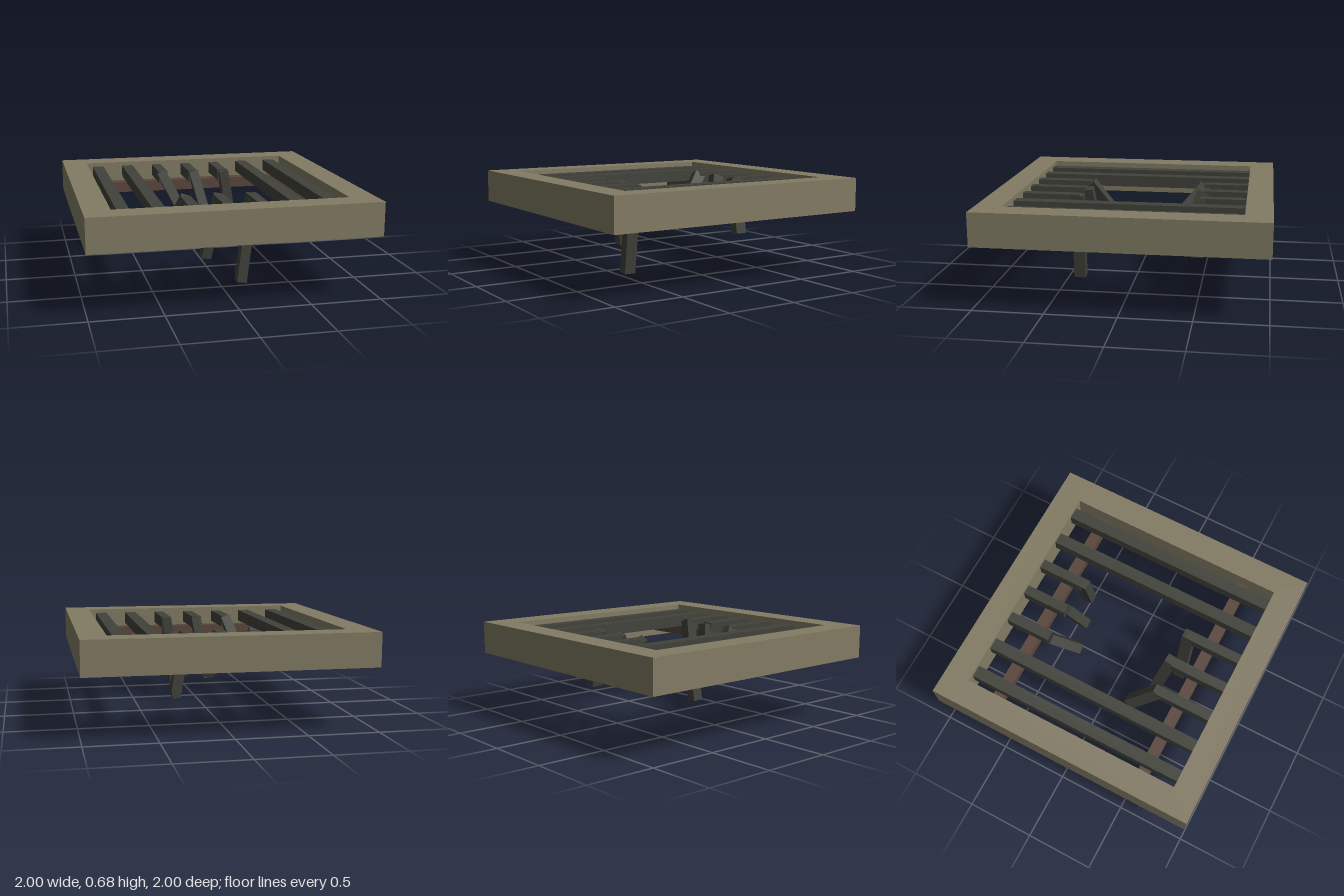
import * as THREE from 'three';

const mat = (name, color) => {
  const m = new THREE.MeshStandardMaterial({ color });
  m.name = name;
  return m;
};

export function createModel() {
  const group = new THREE.Group();
  const stone = mat('stone', 0x827b64);
  const iron = mat('dark iron', 0x41423b);
  const rust = mat('rusty iron', 0x5a463c);
  const inner = 0.815;

  const add = (name, geometry, material, x, y, z) => {
    const mesh = new THREE.Mesh(geometry, material);
    mesh.name = name;
    mesh.position.set(x, y, z);
    group.add(mesh);
    return mesh;
  };
  const box = (name, material, w, h, d, x, y, z) =>
    add(name, new THREE.BoxGeometry(w, h, d), material, x, y, z);

  // Square stone frame with an open middle
  const square = (r) => [[-r, -r], [r, -r], [r, r], [-r, r]].map(([x, y]) => new THREE.Vector2(x, y));
  const shape = new THREE.Shape(square(1));
  shape.holes.push(new THREE.Path(square(inner).reverse()));
  const frame = new THREE.ExtrudeGeometry(shape, { depth: 0.24, bevelEnabled: false });
  frame.rotateX(-Math.PI / 2);
  add('frame', frame, stone, 0, 0.45, 0);

  // Cross bars under the grate
  for (const z of [-0.6, 0.575]) box('crossBar', rust, inner * 2, 0.08, 0.083, 0, 0.535, z);

  // Whole bars
  for (const x of [-0.723, -0.483, 0.477, 0.717])
    box('wholeBar', iron, 0.087, 0.087, inner * 2, x, 0.617, 0);

  // Snapped bars: a stub at each end
  for (const x of [-0.243, -0.003, 0.237]) {
    box('backStub', iron, 0.072, 0.087, inner - 0.48, x, 0.617, -(inner + 0.48) / 2);
    box('frontStub', iron, 0.072, 0.087, inner - 0.395, x, 0.617, (inner + 0.395) / 2);
  }

  // Bent pieces hanging from the stubs: start and end centres
  const bent = [
    [[-0.24, 0.64, 0.41], [-0.328, 0.365, 0.223]],
    [[0.008, 0.65, 0.385], [-0.08, 0.183, 0.315]],
    [[0.24, 0.655, 0.41], [0.16, 0.01, 0.415]],
    [[-0.25, 0.64, -0.49], [-0.152, 0.425, -0.305]],
    [[0.0, 0.65, -0.485], [0.075, 0.335, -0.385]],
    [[0.24, 0.655, -0.475], [0.31, 0.238, -0.475]],
  ];
  for (const [a, b] of bent) {
    const start = new THREE.Vector3(...a);
    const d = new THREE.Vector3(...b).sub(start);
    const length = d.length();
    const mid = start.addScaledVector(d, 0.5);
    const piece = box('bentPiece', iron, 0.072, length, 0.087, mid.x, mid.y, mid.z);
    piece.rotation.set(Math.asin(-d.z / length), 0, Math.atan2(d.x, -d.y), 'ZYX');
  }
  return group;
}
